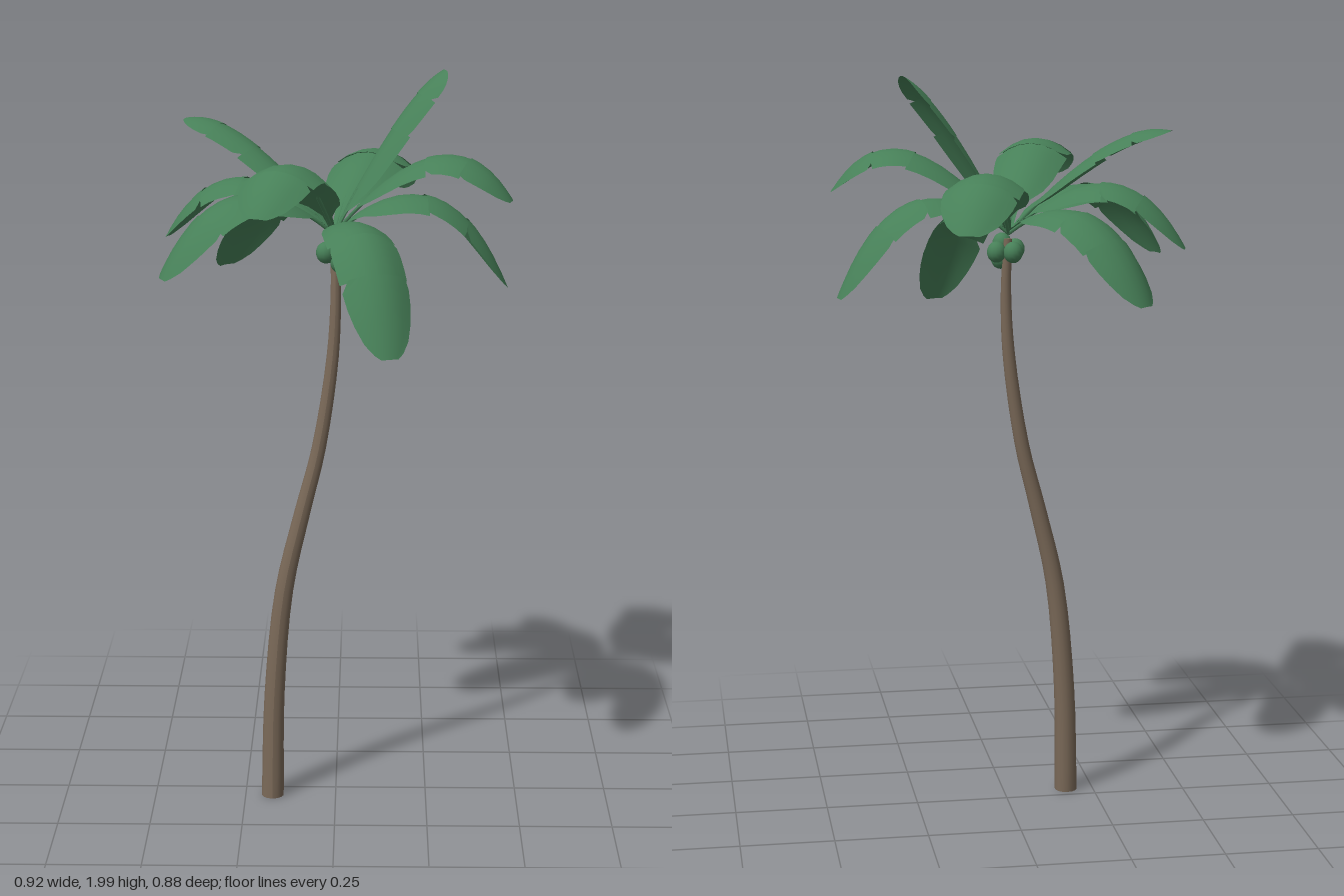
import * as THREE from 'three';

const V = (x, y, z) => new THREE.Vector3(x, y, z);
const green = new THREE.MeshStandardMaterial({ color: 0x478058, side: THREE.DoubleSide });
const bark = new THREE.MeshStandardMaterial({ color: 0x7a6958 });

// Each frond blade is three overlapping sections of [position along rib, half width]
const SECTIONS = [
  [[0, 0.08], [0.07, 0.14], [0.12, 0.4], [0.17, 0.68], [0.24, 0.85], [0.32, 0.93], [0.4, 0.98], [0.47, 1]],
  [[0.46, 0.92], [0.51, 0.98], [0.58, 1], [0.66, 1], [0.72, 0.99]],
  [[0.71, 0.92], [0.76, 0.97], [0.83, 0.92], [0.89, 0.82], [0.95, 0.64], [0.985, 0.42], [1, 0.25]],
];

// Tip x, y, z; height of the rib half way along; half width of the blade
const FRONDS = [
  [0.16, 1.62, -0.435, 1.755, 0.1],
  [0.45, 1.42, -0.07, 1.665, 0.088],
  [0.45, 1.68, 0.11, 1.79, 0.088],
  [0.14, 1.34, 0.425, 1.61, 0.09],
  [-0.185, 1.69, 0.425, 1.795, 0.098],
  [-0.44, 1.49, 0.19, 1.69, 0.097],
  [-0.45, 1.54, -0.125, 1.71, 0.09],
  [-0.4, 1.85, -0.175, 1.8, 0.066],
  [-0.305, 1.42, -0.335, 1.64, 0.098],
  [0.285, 1.99, -0.085, 1.86, 0.066],
];

function trunkGeometry() {
  const curve = new THREE.CatmullRomCurve3([
    V(-0.175, 0, 0.05), V(-0.168, 0.3, 0.045), V(-0.14, 0.6, 0.042), V(-0.09, 0.82, 0.036),
    V(-0.045, 1.0, 0.028), V(-0.008, 1.25, 0.02), V(0, 1.42, 0.016), V(-0.004, 1.56, 0.006),
  ]);
  // Straight cylinder bent along the curve
  const geo = new THREE.CylinderGeometry(0.011, 0.031, 1, 14, 28);
  const pos = geo.attributes.position;
  for (let i = 0; i < pos.count; i++) {
    const c = curve.getPoint(THREE.MathUtils.clamp(pos.getY(i) + 0.5, 0, 1));
    pos.setXYZ(i, c.x + pos.getX(i), c.y, c.z + pos.getZ(i));
  }
  geo.computeVertexNormals();
  return geo;
}

function bladeGeometry(rib, side, halfWidth, flip) {
  const points = [], index = [], cols = 6;
  SECTIONS.forEach((rows, k) => {
    const start = points.length;
    // The torn edge swaps sides from one section to the next
    const torn = (k % 2 ? 1 : -1) * flip;
    rows.forEach(([u, w], r) => {
      const p = rib.getPoint(u);
      const normal = rib.getTangent(u).cross(side).normalize();
      for (let j = 0; j <= cols; j++) {
        const s = (j / cols) * 2 - 1;
        const notch = k > 0 && r === 0 && s * torn > 0 ? 0.84 : 1;
        const x = s * w * notch;
        points.push(p.clone()
          .addScaledVector(side, halfWidth * x)
          .addScaledVector(normal, halfWidth * (0.03 * k - 0.43 * x * x)));
      }
      if (r === 0) return;
      for (let j = 0; j < cols; j++) {
        const b = start + r * (cols + 1) + j, a = b - cols - 1;
        index.push(a, b, a + 1, b, b + 1, a + 1);
      }
    });
  });
  const geo = new THREE.BufferGeometry().setFromPoints(points);
  geo.setIndex(index);
  geo.computeVertexNormals();
  return geo;
}

function frond([x, y, z, midY, halfWidth], i) {
  const dir = V(x, 0, z).normalize();
  const base = V(-0.005, 1.58, 0.003);
  const tip = V(x, y, z);
  // Control point that makes the rib pass through the given middle height
  const mid = base.clone().lerp(tip, 0.57).setY(midY);
  const control = mid.multiplyScalar(2).addScaledVector(base, -0.5).addScaledVector(tip, -0.5);
  const rib = new THREE.QuadraticBezierCurve3(base, control, tip);
  const side = V(0, 1, 0).cross(dir);

  const group = new THREE.Group();
  group.name = 'frond';
  const blade = new THREE.Mesh(bladeGeometry(rib, side, halfWidth, i % 2 ? 1 : -1), green);
  blade.name = 'frondBlade';
  const stalkPath = new THREE.CatmullRomCurve3([0, 0.06, 0.12, 0.18].map(u => rib.getPoint(u).add(V(0, -0.006, 0))));
  const stalk = new THREE.Mesh(new THREE.TubeGeometry(stalkPath, 6, 0.005, 6), green);
  stalk.name = 'frondStalk';
  group.add(blade, stalk);
  return group;
}

export function createModel() {
  const palm = new THREE.Group();
  palm.name = 'palmTree';

  const trunk = new THREE.Mesh(trunkGeometry(), bark);
  trunk.name = 'trunk';
  palm.add(trunk);

  const crown = new THREE.Group();
  crown.name = 'crown';
  FRONDS.forEach((f, i) => crown.add(frond(f, i)));
  palm.add(crown);

  // Cluster of nuts hanging under the crown
  const nuts = new THREE.Group();
  nuts.name = 'coconuts';
  const nutGeo = new THREE.SphereGeometry(0.026, 14, 10);
  [[-0.026, 1.53, 0.026], [0.012, 1.505, 0.034], [0.026, 1.525, 0.01],
    [-0.016, 1.525, -0.006], [0.008, 1.545, 0.034]].forEach(p => {
    const nut = new THREE.Mesh(nutGeo, green);
    nut.name = 'coconut';
    nut.position.set(...p);
    nut.scale.y = 1.1;
    nuts.add(nut);
  });
  palm.add(nuts);
  return palm;
}
